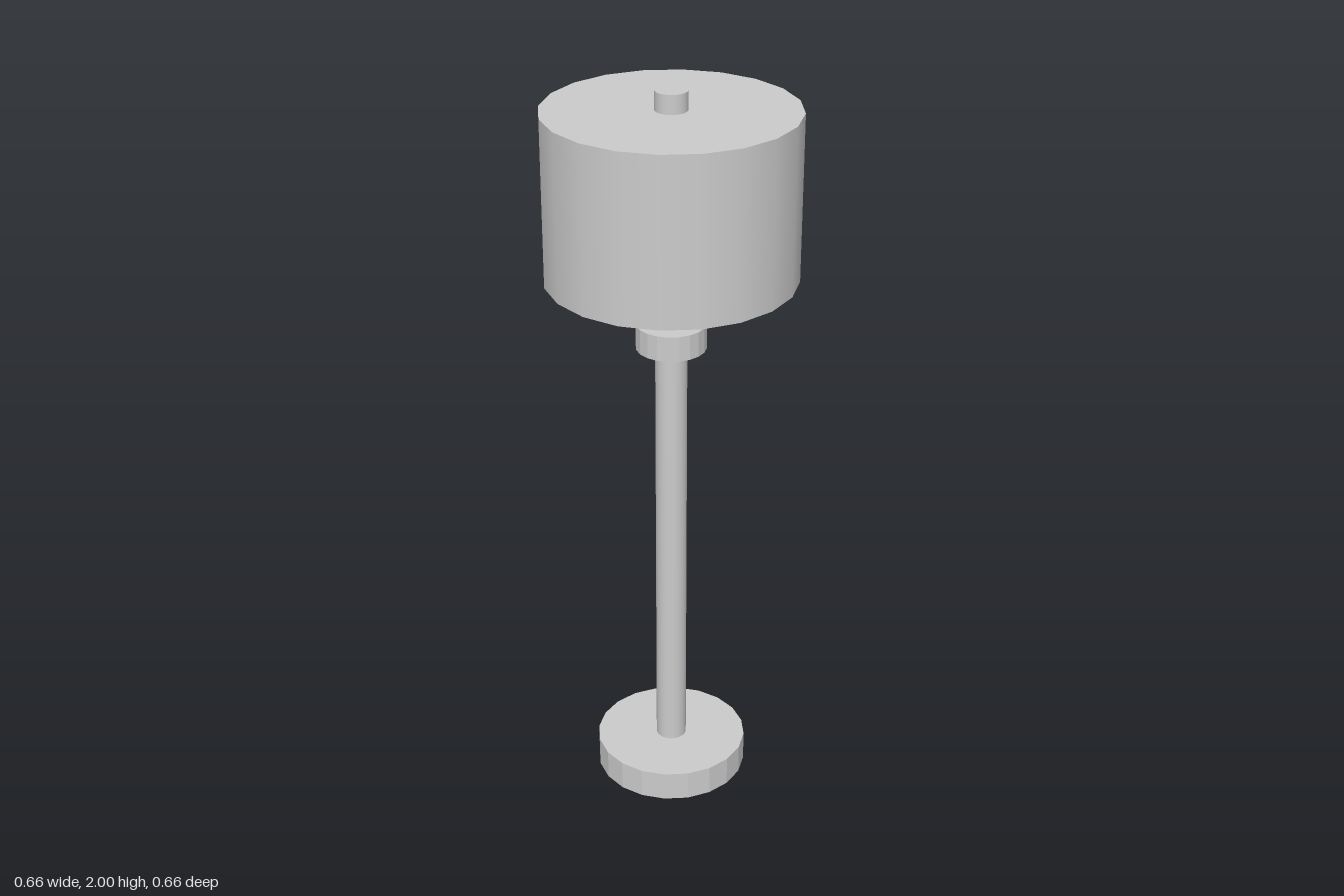
import * as THREE from 'three';

// Upright cylinder spanning y0..y1
function disc(name, radius, y0, y1, sides, flatShading) {
  const material = new THREE.MeshStandardMaterial({ color: 0xcccccc, flatShading });
  const mesh = new THREE.Mesh(new THREE.CylinderGeometry(radius, radius, y1 - y0, sides), material);
  mesh.position.y = (y0 + y1) / 2;
  mesh.name = name;
  return mesh;
}

export function createModel() {
  const lamp = new THREE.Group();
  lamp.name = 'tableLamp';
  lamp.add(
    disc('base', 0.21, 0, 0.085, 20, true),
    // The pole runs through the collar and shade and ends as a stub on top
    disc('pole', 0.042, 0, 2, 32, false),
    disc('collar', 0.093, 1.312, 1.381, 20, true),
    // Closed drum shade
    disc('shade', 0.328, 1.508, 1.95, 20, false),
  );
  return lamp;
}
